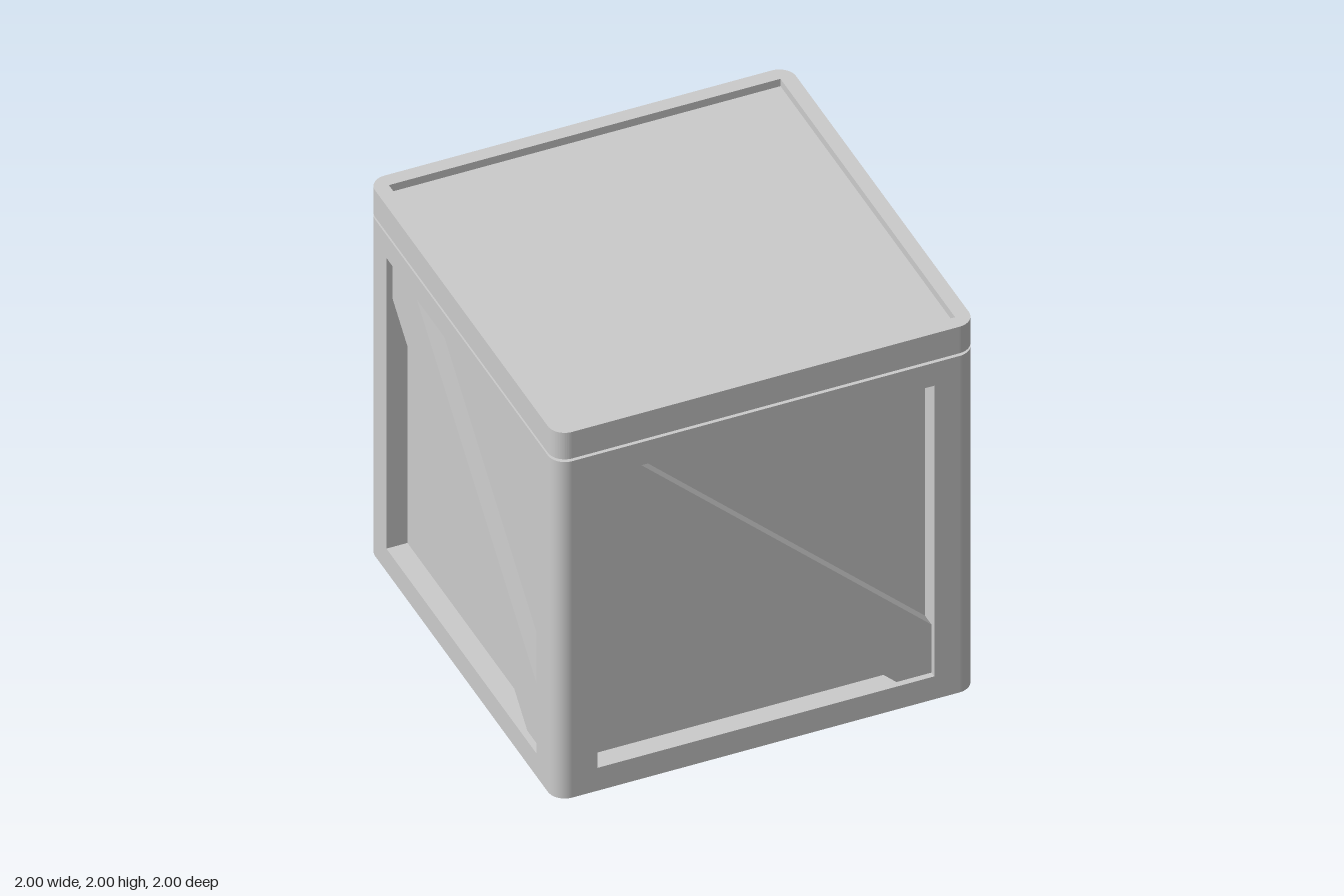
import * as THREE from 'three';

const material = new THREE.MeshStandardMaterial({ color: 0xcccccc, side: THREE.DoubleSide });

const R = 0.08;            // rounding of the vertical edges
const BODY_TOP = 1.84;
const LID_BOTTOM = 1.855;
const OPEN = { x: 0.8, y0: 0.125, y1: 1.715 }; // opening in each wall
const RECESS = 0.1;        // how far each panel sits back
const BRACE_FRONT = 0.03;  // brace face behind the wall face
const BRACE_DEPTH = 0.14;

function add(parent, name, geometry, x = 0, y = 0, z = 0) {
  const mesh = new THREE.Mesh(geometry, material);
  mesh.name = name;
  mesh.position.set(x, y, z);
  parent.add(mesh);
  return mesh;
}

function rectangle(Type, x0, y0, x1, y1) {
  const s = new Type();
  s.moveTo(x0, y0);
  s.lineTo(x1, y0);
  s.lineTo(x1, y1);
  s.lineTo(x0, y1);
  s.closePath();
  return s;
}

function roundedSquare() {
  const s = new THREE.Shape();
  const c = 1 - R;
  s.absarc(c, c, R, 0, Math.PI / 2);
  s.absarc(-c, c, R, Math.PI / 2, Math.PI);
  s.absarc(-c, -c, R, Math.PI, Math.PI * 1.5);
  s.absarc(c, -c, R, Math.PI * 1.5, Math.PI * 2);
  s.closePath();
  return s;
}

// One side of the crate, facing +z
function createSide() {
  const side = new THREE.Group();
  side.name = 'side';
  const w = OPEN.x * 2;
  const h = OPEN.y1 - OPEN.y0;
  const midY = (OPEN.y0 + OPEN.y1) / 2;

  const wall = rectangle(THREE.Shape, -1 + R, 0, 1 - R, BODY_TOP);
  wall.holes.push(rectangle(THREE.Path, -OPEN.x, OPEN.y0, OPEN.x, OPEN.y1));
  add(side, 'wallFrame', new THREE.ShapeGeometry(wall), 0, 0, 1);

  // Inner edges of the opening and the recessed panel
  const revealZ = 1 - RECESS / 2;
  for (const s of [-1, 1]) {
    add(side, 'openingSide', new THREE.PlaneGeometry(RECESS, h), s * OPEN.x, midY, revealZ)
      .rotation.y = -s * Math.PI / 2;
    add(side, 'openingRail', new THREE.PlaneGeometry(w, RECESS), 0, midY + s * h / 2, revealZ)
      .rotation.x = s * Math.PI / 2;
  }
  add(side, 'panel', new THREE.PlaneGeometry(w, h), 0, midY, 1 - RECESS);

  // Diagonal brace: a channel with a front and two long sides only
  const geometry = new THREE.BoxGeometry(2.39, 0.305, BRACE_DEPTH);
  geometry.setIndex(Array.from(geometry.index.array).slice(12, 30));
  const brace = add(side, 'brace', geometry, 0, 0.934, 1 - BRACE_FRONT - BRACE_DEPTH / 2);
  brace.rotation.z = -Math.atan(0.945);

  // Rounded corner post at the right-hand end
  const post = new THREE.CylinderGeometry(R, R, BODY_TOP, 8, 1, true, 0, Math.PI / 2);
  add(side, 'cornerPost', post, 1 - R, BODY_TOP / 2, 1 - R);
  return side;
}

export function createModel() {
  const model = new THREE.Group();
  model.name = 'crate';

  // Four matching sides around an open-bottomed body
  for (let i = 0; i < 4; i++) {
    const side = createSide();
    side.rotation.y = i * Math.PI / 2;
    model.add(side);
  }
  add(model, 'bodyTop', new THREE.ShapeGeometry(roundedSquare(), 8), 0, BODY_TOP, 0)
    .rotation.x = -Math.PI / 2;

  // Neck in the narrow gap under the lid
  const gap = LID_BOTTOM - BODY_TOP;
  add(model, 'neck', new THREE.BoxGeometry(1.74, gap, 1.74), 0, BODY_TOP + gap / 2, 0);

  // Lid: raised rim around a sunken top
  const lid = new THREE.Group();
  lid.name = 'lid';
  const rim = roundedSquare();
  const inner = 0.93;
  rim.holes.push(rectangle(THREE.Path, -inner, -inner, inner, inner));
  const rimGeometry = new THREE.ExtrudeGeometry(rim, {
    depth: 2 - LID_BOTTOM, bevelEnabled: false, curveSegments: 8,
  });
  add(lid, 'lidRim', rimGeometry, 0, LID_BOTTOM, 0).rotation.x = -Math.PI / 2;
  const slab = 1.96 - LID_BOTTOM;
  add(lid, 'lidTop', new THREE.BoxGeometry(inner * 2, slab, inner * 2), 0, LID_BOTTOM + slab / 2, 0);
  model.add(lid);

  return model;
}
